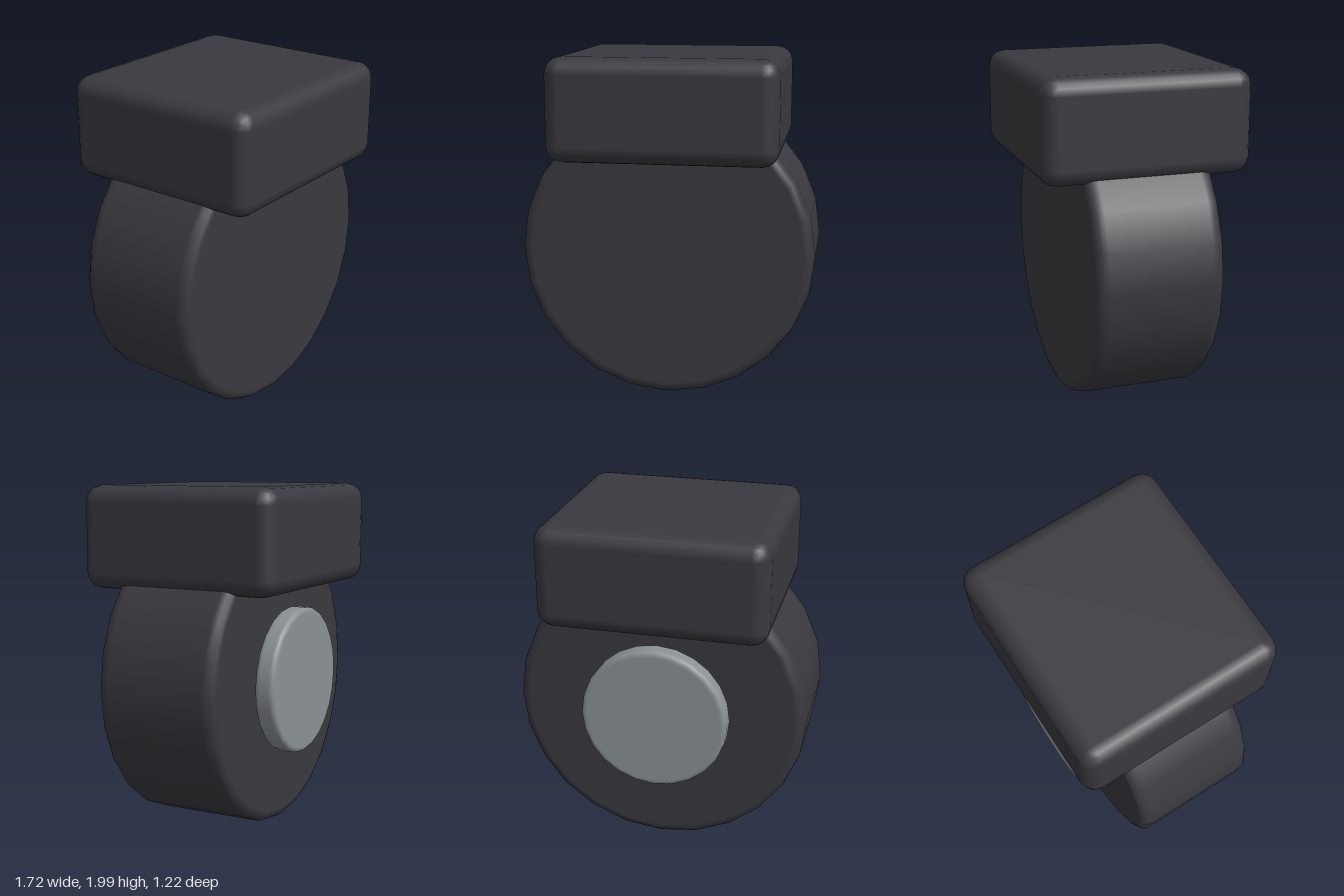
import * as THREE from 'three';
import { RoundedBoxGeometry } from 'three/addons/geometries/RoundedBoxGeometry.js';

// Disc with rounded rims, its axis along z
function roundedDisc(radius, depth, bevelR, bevelZ, sides) {
  const half = depth / 2;
  const steps = 3;
  const back = [];
  // extra ring just inside the rim keeps the flat cap shaded flat
  back.push([0, -half], [radius - bevelR - 0.01, -half]);
  for (let i = 0; i <= steps; i++) {
    const a = (i / steps) * Math.PI / 2;
    back.push([
      radius - bevelR + bevelR * Math.sin(a),
      -half + bevelZ * (1 - Math.cos(a)),
    ]);
  }
  back.push([radius, -half + bevelZ + 0.01]);
  const front = back.map(([r, z]) => [r, -z]).reverse();
  const profile = [...back, ...front].map(([r, z]) => new THREE.Vector2(r, z));
  return new THREE.LatheGeometry(profile, sides).rotateX(Math.PI / 2);
}

export function createModel() {
  const group = new THREE.Group();
  const darkCasing = new THREE.MeshStandardMaterial({ color: 0x3a393f });
  darkCasing.name = 'dark casing';
  const greyMetal = new THREE.MeshStandardMaterial({ color: 0x8b9294 });
  greyMetal.name = 'grey metal';

  function add(name, geometry, material, y, z = 0) {
    const mesh = new THREE.Mesh(geometry, material);
    mesh.name = name;
    mesh.position.set(0, y, z);
    group.add(mesh);
  }

  // Large round drum
  add('drum', roundedDisc(0.858, 0.74, 0.05, 0.06, 24), darkCasing, 0.865);

  // Block sitting on top of the drum
  add('topBlock', new RoundedBoxGeometry(1.314, 0.592, 1.22, 2, 0.095), darkCasing, 1.704);

  // Thin plate held just behind the drum
  add('backDisc', roundedDisc(0.43, 0.12, 0.025, 0.025, 24), greyMetal, 0.865, -0.455);

  return group;
}
